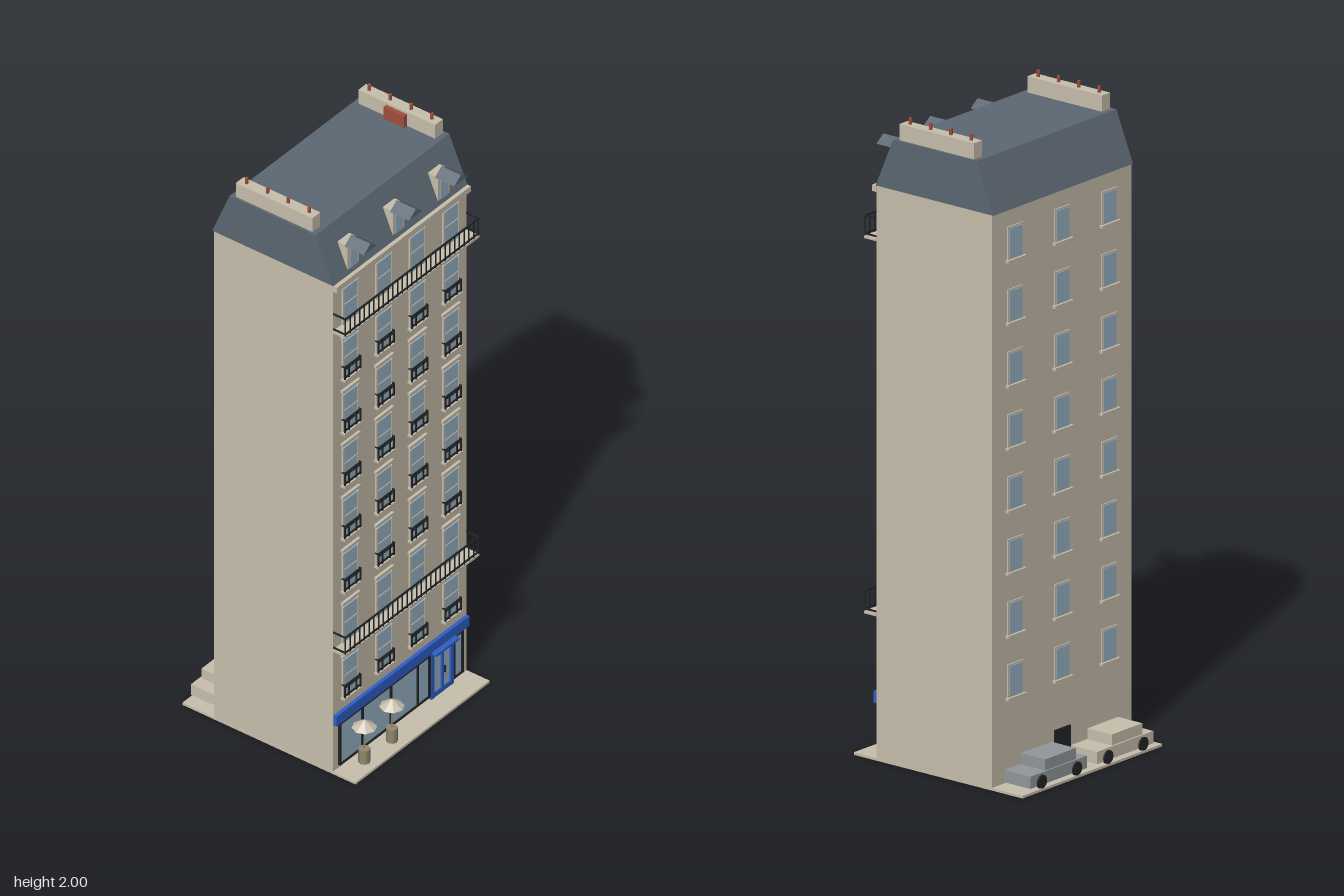
import * as THREE from 'three';

const mat = (name, color, side = THREE.FrontSide) =>
  Object.assign(new THREE.MeshStandardMaterial({ color, side }), { name });

export function createModel() {
  const stone = mat('limestone', 0xc9c0ae);
  const slate = mat('slate', 0x5c6873);
  const glass = mat('window glass', 0x98b4c6);
  const iron = mat('black iron', 0x222426);
  const blue = mat('shop blue', 0x2f5fc8);
  const brick = mat('terracotta', 0xa34f3e);
  const grey = mat('car grey', 0x93989c);
  const taupe = mat('table wood', 0x94886f);
  const canvas = mat('parasol canvas', 0xc9c0ae, THREE.DoubleSide);

  const model = new THREE.Group();
  model.name = 'apartmentBuilding';
  const group = (name, x = 0, y = 0, z = 0, parent = model) => {
    const g = new THREE.Group();
    g.name = name;
    g.position.set(x, y, z);
    parent.add(g);
    return g;
  };
  const add = (parent, name, geo, material, x = 0, y = 0, z = 0) => {
    const m = new THREE.Mesh(geo, material);
    m.name = name;
    m.position.set(x, y, z);
    parent.add(m);
    return m;
  };
  // Box given by its min and max on each axis
  const box = (parent, name, material, x0, x1, y0, y1, z0, z1) =>
    add(parent, name, new THREE.BoxGeometry(x1 - x0, y1 - y0, z1 - z0), material,
      (x0 + x1) / 2, (y0 + y1) / 2, (z0 + z1) / 2);

  const W = 0.32, F = 0.237, B = -0.205, STEP = 0.193;

  // Pavement and main block
  box(model, 'pavement', stone, -W, W, 0, 0.008, -0.322, 0.322);
  box(model, 'walls', stone, -0.319, 0.319, 0.008, 1.775, B, F);
  box(model, 'cornice', stone, -W, W, 1.755, 1.775, F, 0.252);

  // Mansard roof: side profile extruded across the width
  const profile = new THREE.Shape([
    [F + 0.002, 1.775], [0.172, 1.93], [-0.147, 1.93], [-0.211, 1.775],
  ].map(([z, y]) => new THREE.Vector2(z, y)));
  const roofGeo = new THREE.ExtrudeGeometry(profile, { depth: 2 * W, bevelEnabled: false });
  roofGeo.translate(0, 0, -W).rotateY(-Math.PI / 2);
  add(model, 'mansardRoof', roofGeo, slate);

  // Chimney stacks with pots
  for (const s of [-1, 1]) {
    const chimney = group('chimney', s * 0.293, 1.93, 0.0125);
    box(chimney, 'chimneyStack', stone, -0.0185, 0.0185, 0, 0.05, -0.1425, 0.1425);
    for (let i = 0; i < 4; i++)
      add(chimney, 'chimneyPot', new THREE.CylinderGeometry(0.0055, 0.0055, 0.02, 6),
        brick, 0, 0.06, -0.1165 + i * 0.0775);
  }
  box(model, 'brickPatch', brick, 0.261, 0.275, 1.93, 1.972, -0.027, 0.05);

  // Dormers with gabled hoods
  const gable = new THREE.Shape([
    new THREE.Vector2(-0.032, 0), new THREE.Vector2(0.032, 0), new THREE.Vector2(0, 0.024),
  ]);
  for (const x of [-0.217, 0, 0.215]) {
    const dormer = group('dormer', x);
    box(dormer, 'dormerBody', stone, -0.028, 0.028, 1.78, 1.875, 0.16, 0.233);
    box(dormer, 'dormerGlass', glass, -0.016, 0.016, 1.79, 1.855, 0.231, 0.236);
    add(dormer, 'dormerHood', new THREE.ExtrudeGeometry(gable, { depth: 0.072, bevelEnabled: false }),
      slate, 0, 1.873, 0.225);
  }

  // Front windows, with a small iron guard on the plain floors
  const columns = [-0.24, -0.08, 0.08, 0.24];
  for (let row = 0; row < 8; row++) {
    const top = 1.737 - row * STEP;
    for (const x of columns) {
      const win = group('frontWindow', x, top, F);
      box(win, 'glass', glass, -0.032, 0.032, -0.13, 0, 0, 0.004);
      box(win, 'transom', stone, -0.032, 0.032, -0.058, -0.054, 0.003, 0.006);
      for (const s of [-1, 1])
        box(win, 'jamb', stone, s * 0.035 - 0.003, s * 0.035 + 0.003, -0.13, 0.004, 0, 0.006);
      box(win, 'lintel', stone, -0.042, 0.042, 0.012, 0.022, 0, 0.009);
      if (row === 0 || row === 6) continue;
      box(win, 'sill', stone, -0.042, 0.042, -0.137, -0.129, 0, 0.016);
      for (const y of [-0.122, -0.085])
        box(win, 'guardRail', iron, -0.039, 0.039, y - 0.0025, y + 0.0025, 0.01, 0.014);
      box(win, 'guardMidRail', iron, -0.039, 0.039, -0.0955, -0.0925, 0.01, 0.013);
      for (const px of [-0.037, -0.018, 0.018, 0.037])
        box(win, 'guardPost', iron, px - 0.002, px + 0.002, -0.129, -0.085, 0.01, 0.014);
      for (const s of [-1, 1])
        box(win, 'guardReturn', iron, s * 0.037 - 0.002, s * 0.037 + 0.002, -0.0875, -0.0825, 0, 0.012);
    }
  }

  // Two full width balconies
  for (const y of [1.603, 0.445]) {
    const balcony = group('longBalcony', 0, y, F);
    box(balcony, 'balconySlab', stone, -W, W, 0, 0.008, 0, 0.047);
    for (const [r0, r1] of [[0.012, 0.017], [0.067, 0.072]]) {
      box(balcony, 'rail', iron, -W, W, r0, r1, 0.043, 0.047);
      for (const s of [-1, 1])
        box(balcony, 'endRail', iron, s * 0.318 - 0.002, s * 0.318 + 0.002, r0, r1, 0, 0.045);
    }
    for (let i = 0; i <= 28; i++) {
      const x = -0.318 + i * 0.636 / 28;
      box(balcony, 'baluster', iron, x - 0.0017, x + 0.0017, 0.008, 0.07, 0.0435, 0.0465);
    }
  }

  // Back windows and service door
  for (let row = 0; row < 8; row++)
    for (const x of [-0.215, 0, 0.215]) {
      const win = group('backWindow', x, 1.67 - row * STEP, B);
      box(win, 'frame', stone, -0.035, 0.035, -0.05, 0.052, -0.004, 0);
      box(win, 'glass', glass, -0.029, 0.029, -0.047, 0.046, -0.006, -0.001);
      box(win, 'sill', stone, -0.042, 0.042, -0.058, -0.05, -0.011, 0);
    }
  box(model, 'backDoor', iron, -0.036, 0.036, 0.008, 0.115, B - 0.005, B);

  // Shop front: fascia, glazing with black frames, blue doorway
  const shop = group('shopFront', 0, 0, F);
  box(shop, 'fascia', blue, -0.317, 0.317, 0.176, 0.212, 0, 0.012);
  const glazing = (x0, x1, bars) => {
    box(shop, 'shopGlass', glass, x0, x1, 0.024, 0.17, 0, 0.004);
    for (const y of [0.022, 0.169])
      box(shop, 'shopRail', iron, x0 - 0.003, x1 + 0.003, y - 0.003, y + 0.003, 0, 0.008);
    for (const x of bars)
      box(shop, 'shopMullion', iron, x - 0.004, x + 0.004, 0.022, 0.17, 0, 0.008);
  };
  glazing(-0.292, 0.136, [-0.292, -0.186, -0.05, 0.078, 0.134]);
  glazing(0.252, 0.294, [0.252, 0.292]);
  box(shop, 'doorGlass', glass, 0.15, 0.235, 0.02, 0.165, 0, 0.005);
  for (const [x, w] of [[0.146, 0.007], [0.193, 0.005], [0.239, 0.007]])
    box(shop, 'doorStile', blue, x - w, x + w, 0.008, 0.176, 0, 0.01);
  for (const [y0, y1] of [[0.008, 0.024], [0.16, 0.176]])
    box(shop, 'doorRail', blue, 0.146, 0.239, y0, y1, 0, 0.009);
  box(shop, 'doorHandle', iron, 0.199, 0.202, 0.075, 0.1, 0.008, 0.014);
  box(shop, 'doorCanopy', blue, 0.138, 0.247, 0.174, 0.182, 0, 0.03);

  // Terrace parasols over small tables
  for (const x of [-0.222, -0.09]) {
    const terrace = group('terraceTable', x, 0.008, 0.278);
    add(terrace, 'table', new THREE.CylinderGeometry(0.018, 0.018, 0.048, 8), taupe, 0, 0.024, 0);
    add(terrace, 'pole', new THREE.CylinderGeometry(0.0025, 0.0025, 0.1, 6), taupe, 0, 0.09, 0);
    const top = new THREE.ConeGeometry(0.038, 0.027, 8, 1, true).toNonIndexed();
    top.computeVertexNormals();
    add(terrace, 'parasol', top, canvas, 0, 0.139, 0);
  }

  // Cars parked behind
  for (const [x, paint, shift] of [[-0.155, stone, -0.015], [0.149, grey, -0.014]]) {
    const car = group('parkedCar', x, 0, -0.268);
    box(car, 'carBody', paint, -0.129, 0.129, 0.018, 0.056, -0.05, 0.05);
    box(car, 'carCabin', paint, shift - 0.07, shift + 0.07, 0.056, 0.09, -0.045, 0.048);
    for (const wx of [-0.081, 0.08])
      for (const s of [-1, 1]) {
        const wheel = add(car, 'wheel', new THREE.CylinderGeometry(0.021, 0.021, 0.008, 12), iron,
          wx, 0.029, s * 0.051);
        wheel.rotation.x = Math.PI / 2;
      }
  }
  return model;
}
